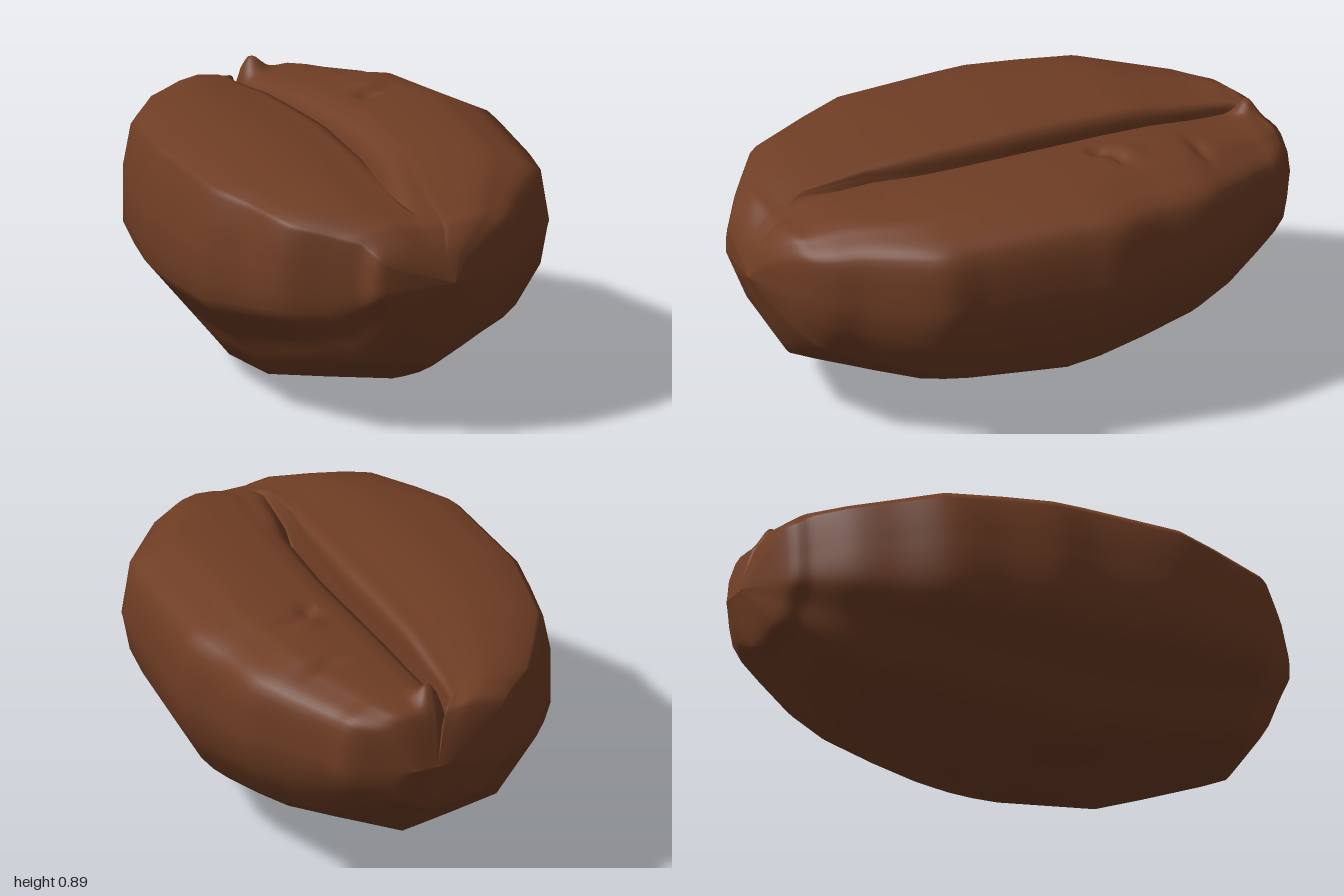
import * as THREE from 'three';

// Stations along the bean: z, left x, right x, top y, bottom y, crease x, crease depth (0..1)
const stations = [
  [-1, 0.07, 0.18, 0.6, 0.6, 0.1, 0],
  [-0.95, -0.18, 0.27, 0.78, 0.41, 0.06, 0.3],
  [-0.88, -0.27, 0.39, 0.82, 0.35, 0.01, 0.55],
  [-0.79, -0.38, 0.44, 0.83, 0.27, 0, 0.65],
  [-0.65, -0.48, 0.52, 0.85, 0.17, 0, 0.85],
  [-0.5, -0.58, 0.6, 0.875, 0.12, 0, 0.95],
  [-0.3, -0.63, 0.63, 0.885, 0.06, 0, 1],
  [-0.12, -0.67, 0.67, 0.89, 0.03, 0, 1],
  [0, -0.67, 0.655, 0.89, 0, 0, 1],
  [0.36, -0.68, 0.607, 0.87, 0.035, -0.03, 0.75],
  [0.52, -0.62, 0.58, 0.85, 0.09, -0.06, 0.35],
  [0.74, -0.54, 0.39, 0.81, 0.17, -0.08, 0.08],
  [0.84, -0.41, 0.31, 0.775, 0.22, -0.06, 0],
  [0.9, -0.33, 0.23, 0.75, 0.32, -0.05, 0],
  [0.97, -0.24, 0.07, 0.65, 0.48, -0.04, 0],
  [1, 0, 0, 0.56, 0.56, 0, 0],
];

// Cross-section from the crease, over the left lobe, under the belly and back; both axes -1..1
const section = [
  [0, 0.1], [-0.025, 0.6], [-0.05, 0.89], [-0.18, 0.95], [-0.45, 1], [-0.7, 0.94],
  [-0.89, 0.84], [-0.95, 0.72], [-1, 0.23], [-1, -0.29], [-0.8, -0.575], [-0.6, -0.86],
  [-0.25, -0.93], [0.13, -1], [0.43, -0.83], [0.72, -0.655], [0.8, -0.57], [0.95, -0.28],
  [1, 0.05], [0.95, 0.71], [0.73, 0.94], [0.55, 1], [0.3, 0.97], [0.17, 0.92],
  [0.09, 0.8], [0.04, 0.5],
];

// Small surface marks on the top: x, z, radius x, radius z, height
const marks = [
  [0.08, -0.88, 0.045, 0.045, 0.06],
  [0.23, -0.24, 0.03, 0.035, -0.03],
  [0.31, -0.28, 0.06, 0.02, -0.02],
  [0.28, -0.34, 0.05, 0.04, 0.012],
  [0.33, -0.58, 0.07, 0.025, -0.02],
];

const STEPS = 120, SPLIT = 6;

function buildBean(Interpolant) {
  const along = new Interpolant(stations.map(s => s[0]), stations.flatMap(s => s.slice(1)), 6);
  const n = section.length;
  // Wrap the section at both ends so the closed loop stays continuous
  const loop = [...section.slice(-2), ...section, ...section.slice(0, 3)];
  const around = new Interpolant(loop.map((_, i) => i - 2), loop.flat(), 2);
  const count = n * SPLIT, pos = [], index = [];

  for (let i = 0; i <= STEPS; i++) {
    // Stations crowd toward both tips
    const t = 1 - 2 * i / STEPS;
    const z = 0.6 * t + 0.4 * Math.sin(t * Math.PI / 2);
    const [left, right, top, bottom, cx, depth] = along.evaluate(z);
    const mid = 0.58 - 0.02 * z;
    for (let j = 0; j < count; j++) {
      let [u, v] = around.evaluate(j / SPLIT);
      // Fill the crease where it fades out
      if (Math.abs(u) < 0.3 && v > 0) v += (1 - depth) * Math.max(0, 0.93 - v);
      const x = cx + u * (u < 0 ? cx - left : right - cx);
      let y = mid + v * (v > 0 ? top - mid : mid - bottom);
      if (v > 0.5) {
        for (const [mx, mz, rx, rz, h] of marks) {
          y += h * Math.exp(-(((x - mx) / rx) ** 2) - ((z - mz) / rz) ** 2);
        }
      }
      pos.push(x, y, z);
      if (i < STEPS) {
        const a = i * count + j, b = i * count + (j + 1) % count;
        index.push(a, a + count, b, b, a + count, b + count);
      }
    }
  }
  const geometry = new THREE.BufferGeometry();
  geometry.setAttribute('position', new THREE.Float32BufferAttribute(pos, 3));
  geometry.setIndex(index);
  geometry.computeVertexNormals();
  return geometry;
}

export function createModel() {
  const group = new THREE.Group();
  group.name = 'roastedBean';
  const roastBrown = new THREE.MeshStandardMaterial({ color: 0x6f3d24 });
  roastBrown.name = 'roastBrown';

  // Angular outline, shaded with the normals of a rounded version
  const geometry = buildBean(THREE.LinearInterpolant);
  geometry.setAttribute('normal', buildBean(THREE.CubicInterpolant).getAttribute('normal'));

  const bean = new THREE.Mesh(geometry, roastBrown);
  bean.name = 'beanBody';
  group.add(bean);
  return group;
}
